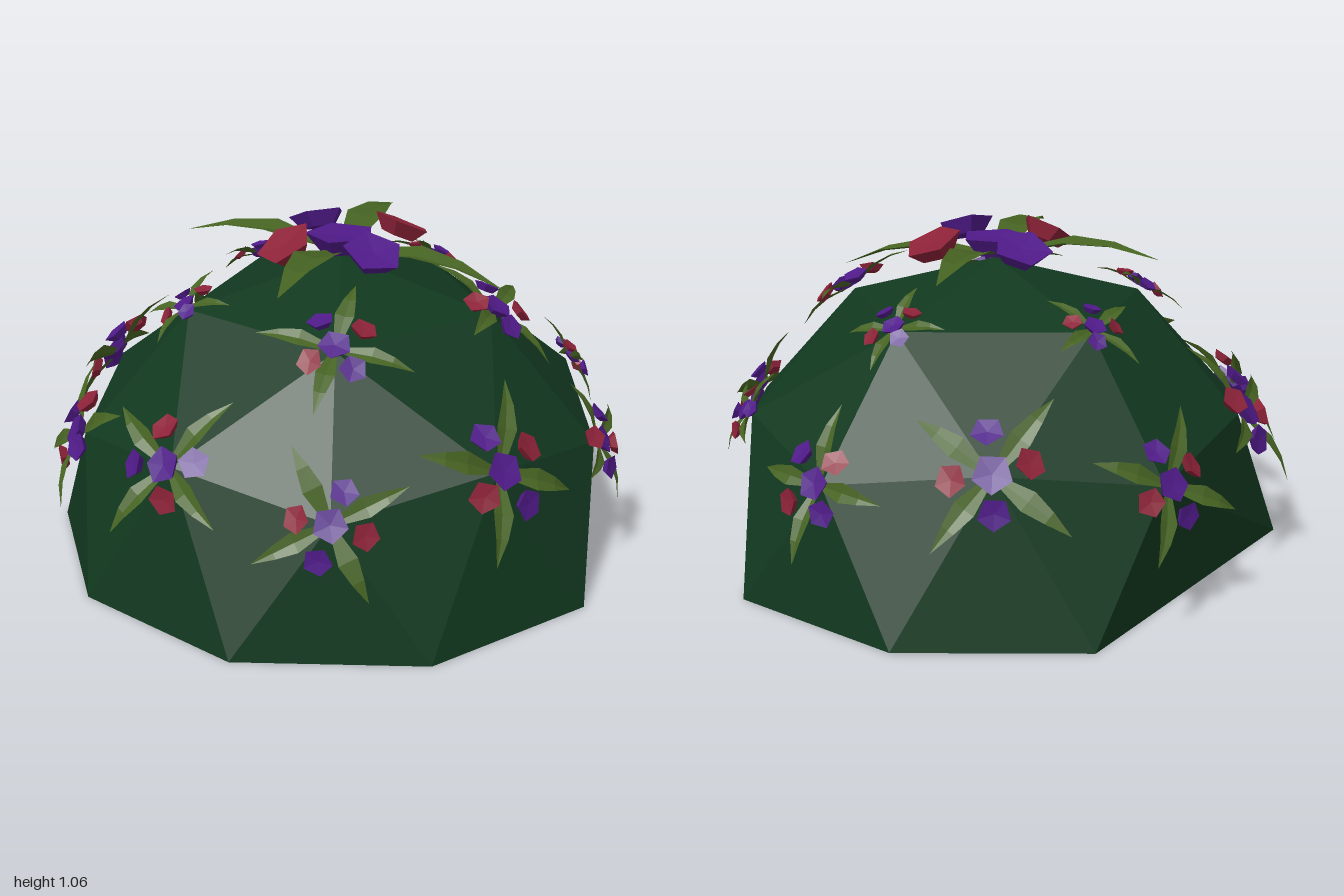
import * as THREE from 'three';
import { ConvexGeometry } from 'three/addons/geometries/ConvexGeometry.js';

const material = (color) => new THREE.MeshStandardMaterial({ color, flatShading: true, side: THREE.DoubleSide });
const bushGreen = material(0x11381f);
const leafGreen = material(0x466322);
const purple = material(0x4f1a88);
const red = material(0x8c2238);

const R = 0.937, CX = 0.005, CZ = -0.035;

// Point on a ring of the dome, angle measured from +x towards +z
function ringPoint(degrees, radius, height) {
  const a = THREE.MathUtils.degToRad(degrees);
  return new THREE.Vector3(Math.cos(a) * radius * R, height * R, Math.sin(a) * radius * R);
}

// Folded, pointed leaf lying along +x, arching up and then down to its tip
function leafGeometry() {
  const sections = [[0.02, 0.02, 0.0], [0.24, 0.065, 0.045], [0.38, 0.04, 0.045], [0.53, 0.001, 0.015]];
  const positions = [], indices = [];
  for (const [x, halfWidth, y] of sections) {
    positions.push(x, y + halfWidth * 0.25, -halfWidth, x, y, 0, x, y + halfWidth * 0.25, halfWidth);
  }
  for (let i = 0; i < sections.length - 1; i++) {
    for (let j = 0; j < 2; j++) {
      const a = i * 3 + j, b = a + 1, c = a + 3, d = a + 4;
      indices.push(a, b, c, b, d, c);
    }
  }
  const geometry = new THREE.BufferGeometry();
  geometry.setAttribute('position', new THREE.Float32BufferAttribute(positions, 3));
  geometry.setIndex(indices);
  geometry.computeVertexNormals();
  return geometry;
}

// Five-sided blossom: tapered cup with a slightly sunken face
const blossomGeometry = new THREE.LatheGeometry(
  [[0, 0], [0.6, 0], [1, 0.5], [0, 0.42]].map(([x, y]) => new THREE.Vector2(x, y)), 5);
const leaf = leafGeometry();

function addBlossom(group, mat, x, y, z, size, tilt) {
  const blossom = new THREE.Mesh(blossomGeometry, mat);
  blossom.name = 'blossom';
  blossom.scale.setScalar(size);
  blossom.position.set(x, y, z);
  if (tilt) {
    const outward = new THREE.Vector3(x, 0, z).normalize().multiplyScalar(tilt);
    blossom.quaternion.setFromUnitVectors(
      new THREE.Vector3(0, 1, 0), outward.setY(1).normalize());
  }
  group.add(blossom);
}

// Four crossed leaves with a central blossom and four around it
function createCluster() {
  const cluster = new THREE.Group();
  cluster.name = 'flowerCluster';
  for (let i = 0; i < 4; i++) {
    const mesh = new THREE.Mesh(leaf, leafGreen);
    mesh.name = 'leaf';
    mesh.rotation.set(0, i * Math.PI / 2, i === 0 ? -0.16 : 0);
    cluster.add(mesh);
  }
  addBlossom(cluster, purple, 0, 0.0, 0, 0.115, 0);
  addBlossom(cluster, purple, -0.13, 0.02, -0.15, 0.095, 0.45);
  addBlossom(cluster, red, 0.14, 0.02, -0.15, 0.095, 0.45);
  addBlossom(cluster, purple, 0.15, 0.02, 0.15, 0.095, 0.45);
  addBlossom(cluster, red, -0.11, 0.02, 0.15, 0.095, 0.6);
  return cluster;
}

export function createModel() {
  const model = new THREE.Group();
  model.name = 'floweringBush';
  const body = new THREE.Group();
  body.name = 'bush';
  body.position.set(CX, 0, CZ);
  model.add(body);

  // Faceted dome: crown, upper ring, two staggered middle rings, eight-cornered base
  const spots = [new THREE.Vector3(0, R, 0)];
  for (let i = 0; i < 5; i++) spots.push(ringPoint(i * 72, 0.526, 0.851));
  for (let i = 0; i < 5; i++) spots.push(ringPoint(i * 72, 0.894, 0.447));
  for (let i = 0; i < 5; i++) spots.push(ringPoint(36 + i * 72, 0.851, 0.526));
  const base = [18, 54, 90, 126, 162, 234, 270, 306].map((a) => ringPoint(a, 1, 0));
  const dome = new THREE.Mesh(new ConvexGeometry([...spots, ...base]), bushGreen);
  dome.name = 'foliageDome';
  body.add(dome);

  // One cluster on every corner of the dome: [scale, roll in degrees]
  const settings = [
    [1, 0],
    [0.45, 0], [0.45, 5], [0.33, -13], [0.33, -16], [0.33, -8],
    [0.41, 10], [0.46, -45], [0.48, -15], [0.46, 25], [0.45, -20],
    [0.52, 30], [0.5, 45], [0.52, 10], [0.52, -20], [0.32, 15],
  ];
  const up = new THREE.Vector3(0, 1, 0);
  spots.forEach((spot, i) => {
    const [scale, roll] = settings[i];
    const cluster = createCluster();
    const normal = spot.clone().normalize();
    cluster.position.copy(spot).addScaledVector(normal, 0.012);
    cluster.quaternion.setFromUnitVectors(up, normal);
    cluster.rotateY(THREE.MathUtils.degToRad(roll));
    cluster.scale.setScalar(scale);
    body.add(cluster);
  });
  return model;
}
